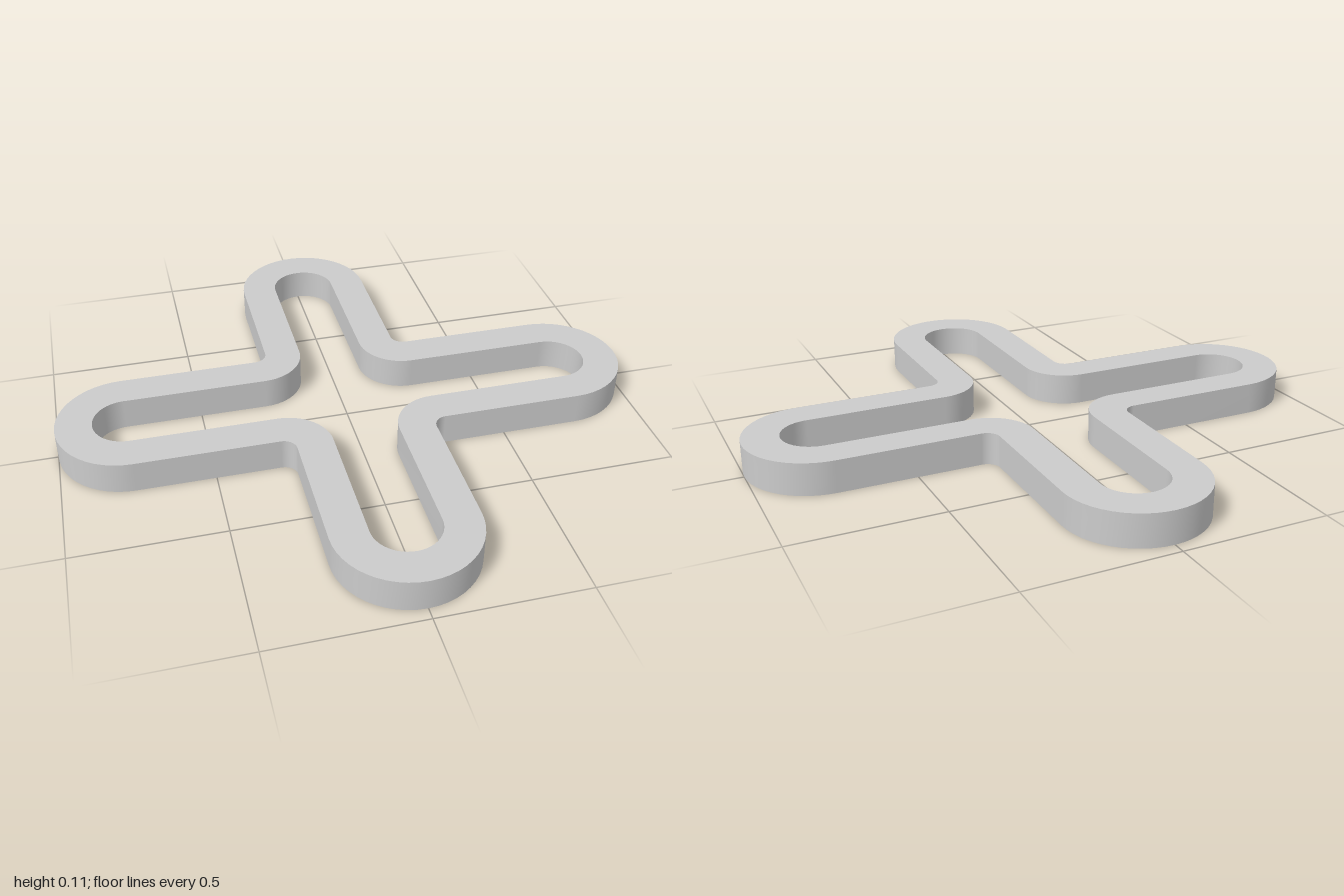
import * as THREE from 'three';

const HEIGHT = 0.11;
const ARM_X = 0.763, ARM_Z = 0.722; // centres of the rounded arm ends
const STEPS = 24;

// Counter-clockwise outline of a cross with round ends and filleted corners
function crossOutline(halfWidth, fillet) {
  const points = [];
  const arc = (cx, cy, r, from, to, steps) => {
    for (let i = 0; i <= steps; i++) {
      const t = from + (to - from) * i / steps;
      points.push(new THREE.Vector2(cx + r * Math.cos(t), cy + r * Math.sin(t)));
    }
  };
  const q = Math.PI / 2;
  for (let k = 0; k < 4; k++) {
    const a = k * q, length = k % 2 ? ARM_Z : ARM_X;
    arc(length * Math.cos(a), length * Math.sin(a), halfWidth, a - q, a + q, STEPS);
    const d = (halfWidth + fillet) * Math.SQRT2, b = a + q / 2;
    arc(d * Math.cos(b), d * Math.sin(b), fillet, a - q, a - 2 * q, STEPS / 2);
  }
  return points;
}

// Smooth closed wall standing on an outline
function wallGeometry(points) {
  const n = points.length, position = [], index = [];
  points.forEach((p, i) => {
    const j = (i + 1) % n;
    position.push(p.x, p.y, 0, p.x, p.y, HEIGHT);
    index.push(2 * i, 2 * j, 2 * j + 1, 2 * i, 2 * j + 1, 2 * i + 1);
  });
  const geometry = new THREE.BufferGeometry();
  geometry.setAttribute('position', new THREE.Float32BufferAttribute(position, 3));
  geometry.setIndex(index);
  geometry.computeVertexNormals();
  return geometry;
}

export function createModel() {
  const model = new THREE.Group();
  model.name = 'crossFrame';
  // Thin open shell, seen from both sides
  const material = new THREE.MeshStandardMaterial({ color: 0xcccccc, side: THREE.DoubleSide });
  const outer = crossOutline(0.237, 0.045), inner = crossOutline(0.113, 0.155);

  const add = (name, geometry) => {
    geometry.rotateX(-Math.PI / 2);
    const mesh = new THREE.Mesh(geometry, material);
    mesh.name = name;
    model.add(mesh);
  };

  // Flat top band; the underside stays open
  const band = new THREE.Shape(outer);
  band.holes.push(new THREE.Path(inner));
  add('topBand', new THREE.ShapeGeometry(band).translate(0, 0, HEIGHT));

  // Walls facing outward and into the opening
  add('outerWall', wallGeometry(outer));
  add('innerWall', wallGeometry([...inner].reverse()));
  return model;
}
